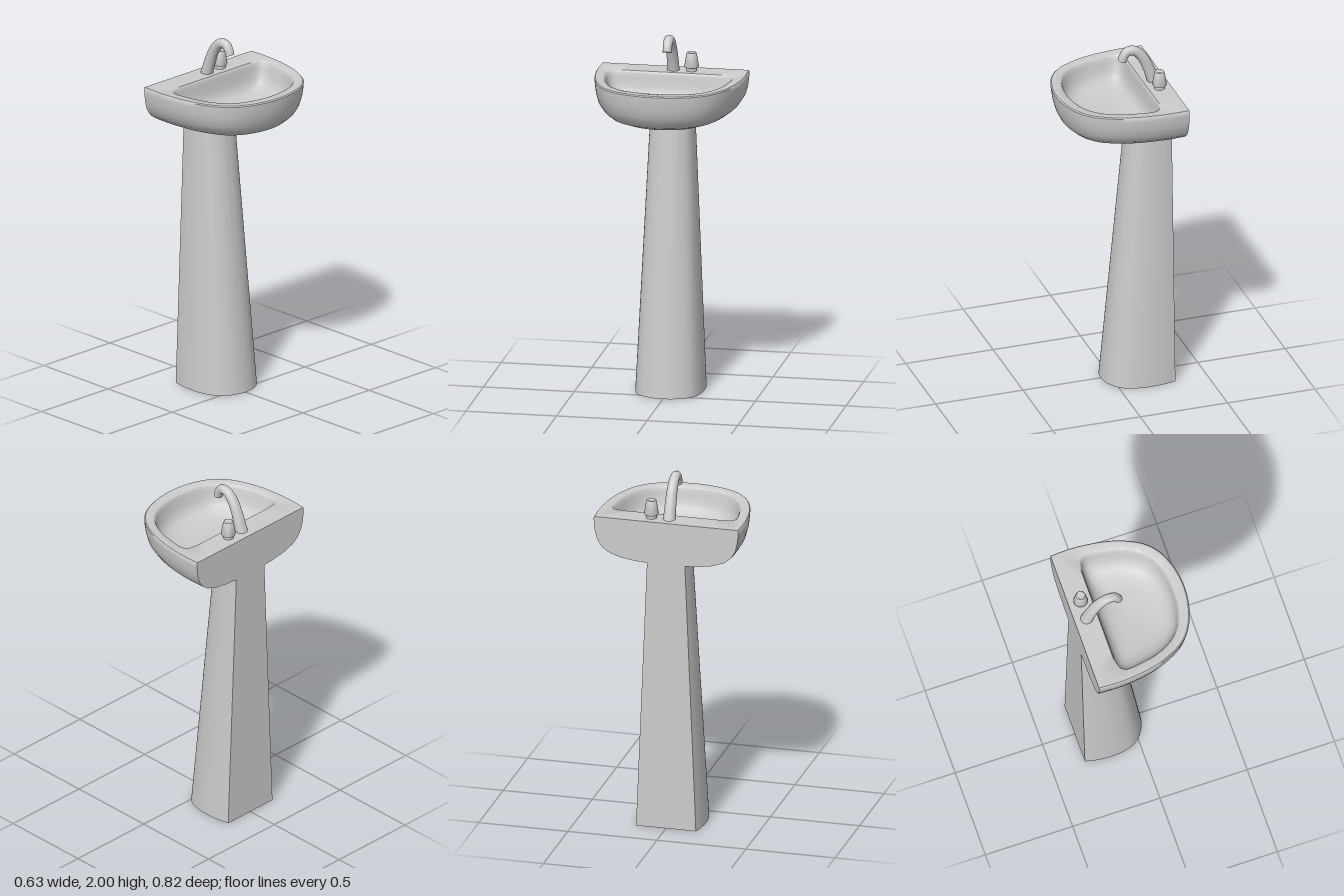
import * as THREE from 'three';
import { toCreasedNormals } from 'three/addons/utils/BufferGeometryUtils.js';

const V = (x, y, z) => new THREE.Vector3(x, y, z);
const BACK = -0.315;

// Skin a list of closed rings (equal point counts) into one surface
function loft(rings, crease = 0.7) {
  const n = rings[0].length;
  const index = [];
  for (let i = 0; i < rings.length - 1; i++) {
    for (let j = 0; j < n; j++) {
      const k = (j + 1) % n;
      const a = i * n + j, b = i * n + k, c = a + n, d = b + n;
      index.push(a, b, d, a, d, c);
    }
  }
  const g = new THREE.BufferGeometry().setFromPoints(rings.flat());
  g.setIndex(index);
  return toCreasedNormals(g, crease);
}

// D-shaped plan: straight back edge plus a mirrored smooth curve, from half-outline [x, z] points
function dOutline(half) {
  const pts = half.map(([x, z]) => V(x, 0, z));
  const mirrored = half.slice(0, -1).reverse().map(([x, z]) => V(x, 0, -z));
  const curve = new THREE.CatmullRomCurve3([...pts, ...mirrored]).getSpacedPoints(64);
  const first = curve[0], last = curve[curve.length - 1];
  const back = [];
  for (let i = 1; i < 8; i++) back.push(last.clone().lerp(first, i / 8));
  return [...curve, ...back];
}

// Scale an outline about x = cx and lift it to height y
const ringAt = (outline, y, sx, sz, cx) =>
  outline.map((p) => V(cx + (p.x - cx) * sx, y, p.z * sz));

export function createModel() {
  const group = new THREE.Group();
  const material = new THREE.MeshStandardMaterial({ color: 0xcccccc });
  const openMaterial = new THREE.MeshStandardMaterial({ color: 0xcccccc, side: THREE.DoubleSide });
  const add = (name, geometry, mat = material) => {
    const mesh = new THREE.Mesh(geometry, mat);
    mesh.name = name;
    group.add(mesh);
    return mesh;
  };

  // Pedestal: hollow tapering column with a flat back
  const foot = dOutline([
    [BACK, 0.168], [-0.24, 0.183], [-0.12, 0.185], [-0.02, 0.155], [0.037, 0.085], [0.055, 0],
  ]);
  add('pedestal', loft([
    ringAt(foot, 0, 1, 1, BACK),
    ringAt(foot, 1.545, 0.61, 0.63, BACK),
  ]), openMaterial);

  // Basin: outer shell, over the rim, then down into the bowl
  const outer = dOutline([
    [BACK, 0.406], [-0.2, 0.41], [-0.1, 0.403], [0, 0.387], [0.1, 0.355],
    [0.2, 0.298], [0.26, 0.225], [0.3, 0.12], [0.315, 0],
  ]);
  const inner = dOutline([
    [-0.18, 0.27], [-0.168, 0.322], [-0.14, 0.343], [-0.05, 0.336], [0.05, 0.314],
    [0.14, 0.27], [0.205, 0.2], [0.24, 0.1], [0.25, 0],
  ]);
  const shell = [
    [1.53, 0, 0], [1.53, 0.35, 0.22], [1.535, 0.62, 0.42], [1.549, 0.8, 0.64], [1.572, 0.885, 0.8],
    [1.6, 0.93, 0.89], [1.64, 0.963, 0.953], [1.69, 0.985, 0.985], [1.74, 0.997, 0.998],
    [1.764, 1, 1], [1.77, 0.99, 0.99],
  ].map(([y, sx, sz]) => ringAt(outer, y, sx, sz, BACK));
  const bowl = [
    [1.77, 1.035], [1.766, 1.012], [1.755, 0.995], [1.73, 0.975], [1.69, 0.945], [1.655, 0.89],
    [1.632, 0.8], [1.617, 0.65], [1.608, 0.4], [1.604, 0],
  ].map(([y, s]) => ringAt(inner, y, s, s, 0.0));
  add('basin', loft([...shell, ...bowl]));

  // Spout: tapering bent tube with a recessed outlet
  const path = new THREE.CatmullRomCurve3([
    V(-0.25, 1.755, 0), V(-0.222, 1.84, 0), V(-0.185, 1.92, 0), V(-0.14, 1.966, 0),
    V(-0.1, 1.97, 0), V(-0.078, 1.947, 0), V(-0.066, 1.915, 0),
  ]);
  const tubeRing = (t, radius) => {
    const c = path.getPointAt(t), d = path.getTangentAt(t);
    return Array.from({ length: 24 }, (_, i) => {
      const a = (i / 24) * Math.PI * 2;
      const u = Math.cos(a) * radius;
      return V(c.x + d.y * u, c.y - d.x * u, -Math.sin(a) * radius);
    });
  };
  const spout = [];
  for (let i = 0; i <= 28; i++) spout.push(tubeRing(i / 28, 0.034 - 0.01 * (i / 28)));
  spout.push(tubeRing(1, 0.018), tubeRing(0.94, 0.017), tubeRing(0.94, 0));
  add('spout', loft(spout));

  // Tap handle: flared knob on a short neck
  const knob = [
    [0, 0], [0.029, 0], [0.029, 0.018], [0.038, 0.021], [0.04, 0.028], [0.028, 0.097],
    [0.025, 0.103], [0.02, 0.105], [0.012, 0.102], [0, 0.1],
  ].map(([r, y]) => new THREE.Vector2(r, y));
  const handle = add('tapHandle', toCreasedNormals(new THREE.LatheGeometry(knob, 28), 0.7));
  handle.position.set(-0.247, 1.769, -0.1);

  return group;
}
